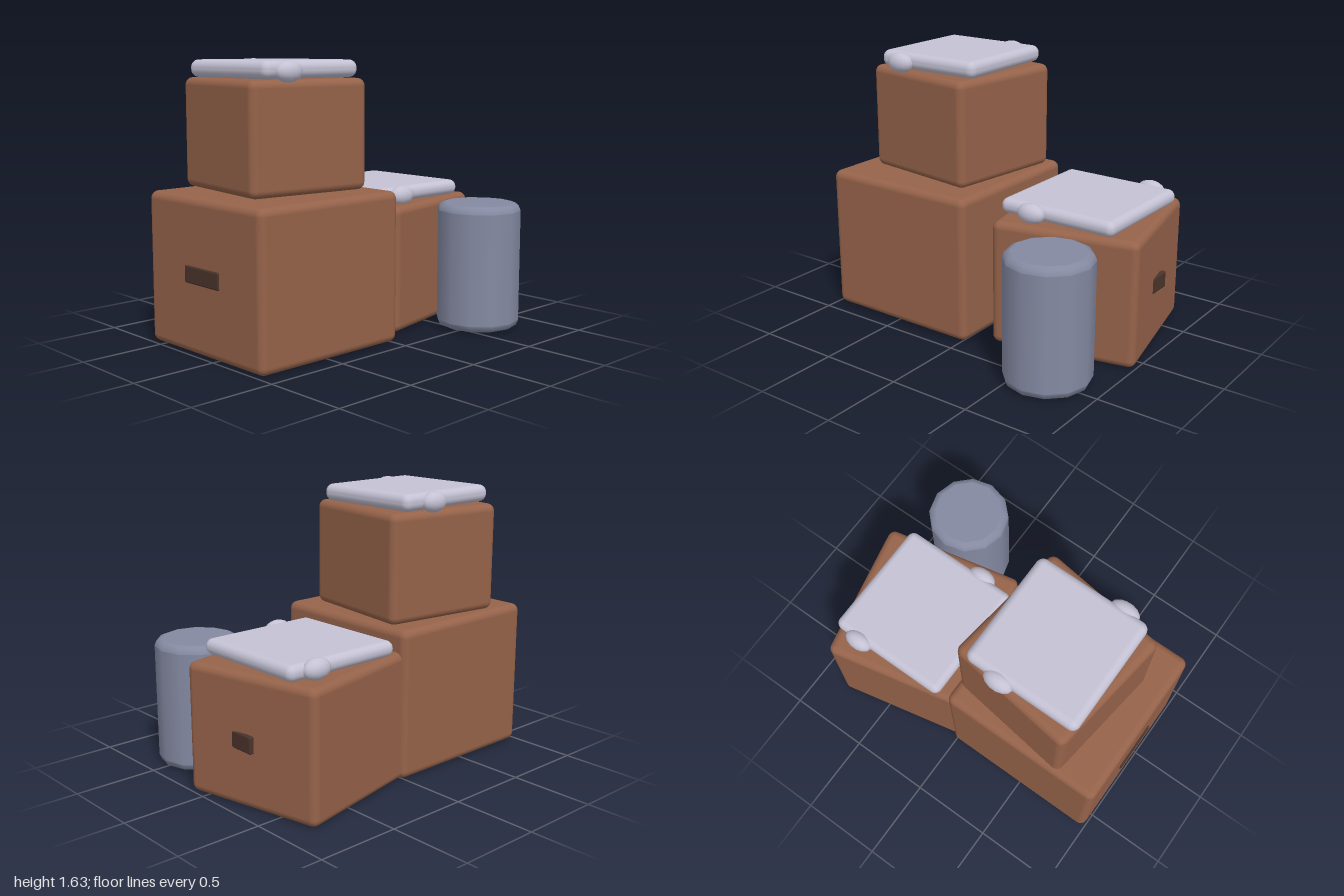
import * as THREE from 'three';
import { RoundedBoxGeometry } from 'three/addons/geometries/RoundedBoxGeometry.js';

const material = (name, color) => {
  const m = new THREE.MeshStandardMaterial({ color });
  m.name = name;
  return m;
};

export function createModel() {
  const model = new THREE.Group();
  model.name = 'stackedBoxes';
  const brown = material('cardboard brown', 0x96634a);
  const lilac = material('pale lilac', 0xc4c2d4);
  const slate = material('slate blue', 0x858aa2);
  const dark = material('dark brown', 0x4a342b);

  const add = (name, geometry, mat, x, y, z, turn = 0) => {
    const mesh = new THREE.Mesh(geometry, mat);
    mesh.name = name;
    mesh.position.set(x, y, z);
    mesh.rotation.y = turn;
    model.add(mesh);
    return mesh;
  };

  // Boxes: name, size (w, h, d), centre, turn about y
  const boxes = [
    ['largeBox', [1.02, 0.885, 1.015], [-0.48, 0.45, -0.095], 0],
    ['sideBox', [0.88, 0.76, 0.88], [0.48, 0.385, -0.225], 0.21],
    ['upperBox', [0.766, 0.635, 0.766], [-0.415, 1.215, -0.158], -0.135],
  ];
  for (const [name, size, pos, turn] of boxes) {
    add(name, new RoundedBoxGeometry(...size, 3, 0.045), brown, ...pos, turn);
  }

  // Hand slots on both sides of the two lower boxes
  const slots = [
    ['largeBoxSlot', -0.48, 0.462, -0.095, 0.52, 0.305],
    ['sideBoxSlot', 0.48, 0.387, -0.225, 0.455, 0.264],
  ];
  for (const [name, x, y, z, reach, width] of slots) {
    for (const side of [-1, 1]) {
      add(name, new RoundedBoxGeometry(0.03, 0.1, width, 2, 0.01), dark,
        x + side * (reach - 0.015), y, z);
    }
  }

  // Folded cloths with round edges, lying on the boxes
  add('upperCloth', new RoundedBoxGeometry(0.695, 0.1, 0.695, 4, 0.045), lilac, -0.414, 1.585, -0.16);
  add('sideCloth', new RoundedBoxGeometry(0.757, 0.092, 0.757, 4, 0.044), lilac, 0.478, 0.815, -0.224);

  // Bunched cloth lumps at the front and back edges
  const lumps = [
    [-0.602, 1.575, 0.187],
    [-0.285, 1.578, -0.505],
    [0.324, 0.811, 0.155],
    [0.68, 0.82, -0.602],
  ];
  for (const pos of lumps) {
    add('clothLump', new THREE.SphereGeometry(1, 14, 10), lilac, ...pos).scale.set(0.09, 0.06, 0.055);
  }

  // Twelve-sided canister with softened rims
  const r = 0.253, h = 0.76, b = 0.04;
  const profile = [[0, 0], [r - b - 0.005, 0], [r - b, 0], [r - b * 0.3, b * 0.3], [r, b], [r, b + 0.005]];
  const points = [
    ...profile,
    ...profile.map(([x, y]) => [x, h - y]).reverse(),
  ].map(([x, y]) => new THREE.Vector2(x, y));
  add('canister', new THREE.LatheGeometry(points, 12), slate, 0.668, 0.008, 0.48);

  return model;
}
